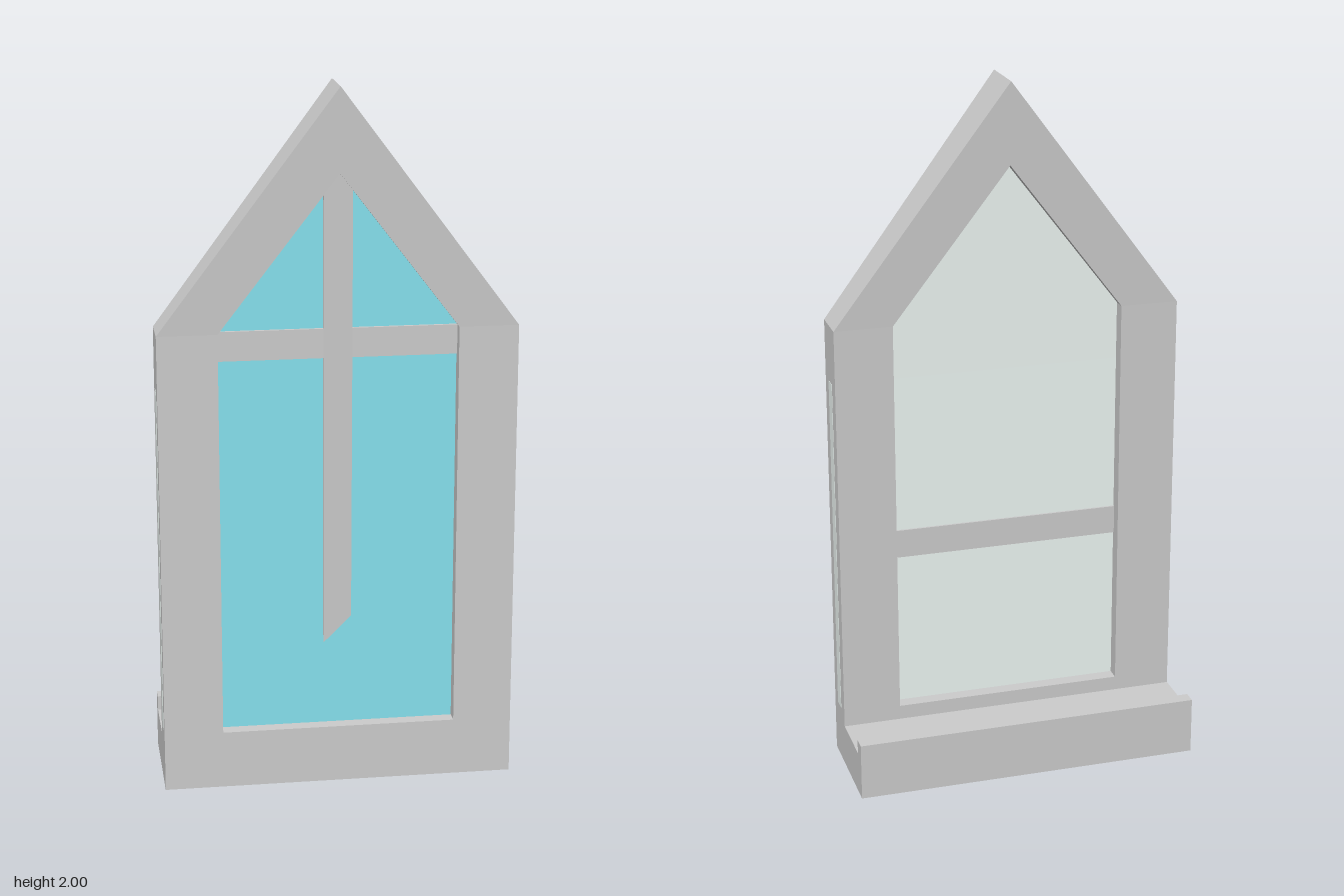
import * as THREE from 'three';

const grey = new THREE.MeshStandardMaterial({ color: 0xcccccc, flatShading: true });
const pale = new THREE.MeshStandardMaterial({ color: 0xecf5f2, flatShading: true });
const teal = new THREE.MeshStandardMaterial({ color: 0x87e2ef, flatShading: true });

const SHOULDER = 1.333, PEAK = 2;

// Prism of an outline in x/y whose back and front z are given by functions of (x, y)
function prism(points, back, front) {
  const shape = new THREE.Shape(points.map(([x, y]) => new THREE.Vector2(x, y)));
  const geo = new THREE.ExtrudeGeometry(shape, { depth: 1, bevelEnabled: false });
  const p = geo.attributes.position;
  for (let i = 0; i < p.count; i++) {
    const x = p.getX(i), y = p.getY(i);
    p.setZ(i, THREE.MathUtils.lerp(back(x, y), front(x, y), p.getZ(i)));
  }
  geo.computeVertexNormals();
  return geo;
}

// Constant depth below the shoulder, then a straight taper up to the peak
const taper = (z0, z1, y0, y1) => (x, y) =>
  THREE.MathUtils.lerp(z0, z1, Math.max(0, (y - y0) / (y1 - y0)));

const flat = (z) => () => z;

const rect = (x0, y0, x1, y1) => [[x0, y0], [x1, y0], [x1, y1], [x0, y1]];

export function createModel() {
  const model = new THREE.Group();
  const add = (name, geometry, material = grey, parent = model) => {
    const mesh = new THREE.Mesh(geometry, material);
    mesh.name = name;
    parent.add(mesh);
    return mesh;
  };

  // Frame: straight lower part and a gable that thickens towards its peak
  const frame = new THREE.Group();
  frame.name = 'frame';
  model.add(frame);
  const back = taper(0.035, 0.01, SHOULDER, PEAK);
  const front = taper(0.155, 0.175, SHOULDER, PEAK);
  add('lowerFrame', prism([
    [-0.5, 0], [0.5, 0], [0.5, SHOULDER], [0.333, SHOULDER],
    [0.333, 0.167], [-0.333, 0.167], [-0.333, SHOULDER], [-0.5, SHOULDER],
  ], back, front), grey, frame);
  add('gableFrame', prism([
    [-0.5, SHOULDER], [-0.333, SHOULDER], [0, 1.767],
    [0.333, SHOULDER], [0.5, SHOULDER], [0, PEAK],
  ], back, front), grey, frame);

  // Sill behind the frame, with a raised lip along its outer edge
  const sill = new THREE.Shape([
    [-0.035, 0], [0.175, 0], [0.175, 0.167], [0.135, 0.167], [0.135, 0.125], [-0.035, 0.125],
  ].map(([x, y]) => new THREE.Vector2(x, y)));
  const sillGeo = new THREE.ExtrudeGeometry(sill, { depth: 1, bevelEnabled: false });
  sillGeo.translate(0, 0, -0.5).rotateY(Math.PI / 2); // profile x becomes -z
  add('sill', sillGeo);

  // Glass: pale body whose edges show in the frame sides, with a tinted front
  const glass = new THREE.Group();
  glass.name = 'glass';
  model.add(glass);
  const glassBack = taper(0.075, 0.07, 1.167, 1.833);
  const glassFront = taper(0.115, 0.118, 1.167, 1.833);
  const tintFront = (x, y) => glassFront(x, y) + 0.001;
  const gable = (w) => [[-w, 1.167], [w, 1.167], [0, 1.833]];
  add('lowerPane', prism(rect(-0.501, 0.167, 0.501, 1.167), glassBack, glassFront), pale, glass);
  add('upperPane', prism(gable(0.499), glassBack, glassFront), pale, glass);
  add('lowerTint', prism(rect(-0.45, 0.16, 0.45, 1.167), flat(0.1), tintFront), teal, glass);
  add('upperTint', prism(gable(0.49), flat(0.1), tintFront), teal, glass);

  // Glazing bars: the upright slopes back until it sinks into the glass
  add('uprightBar', prism(rect(-0.04, 0.3, 0.04, 1.8), flat(0.09),
    (x, y) => 0.116 + 0.015 * (y - 0.45 - x)));
  add('frontCrossbar', prism(rect(-0.4, 1.25, 0.4, SHOULDER), flat(0.095), flat(0.126)));
  add('backCrossbar', prism(rect(-0.4, 0.625, 0.4, 0.708), flat(0.069), flat(0.09)));

  return model;
}
